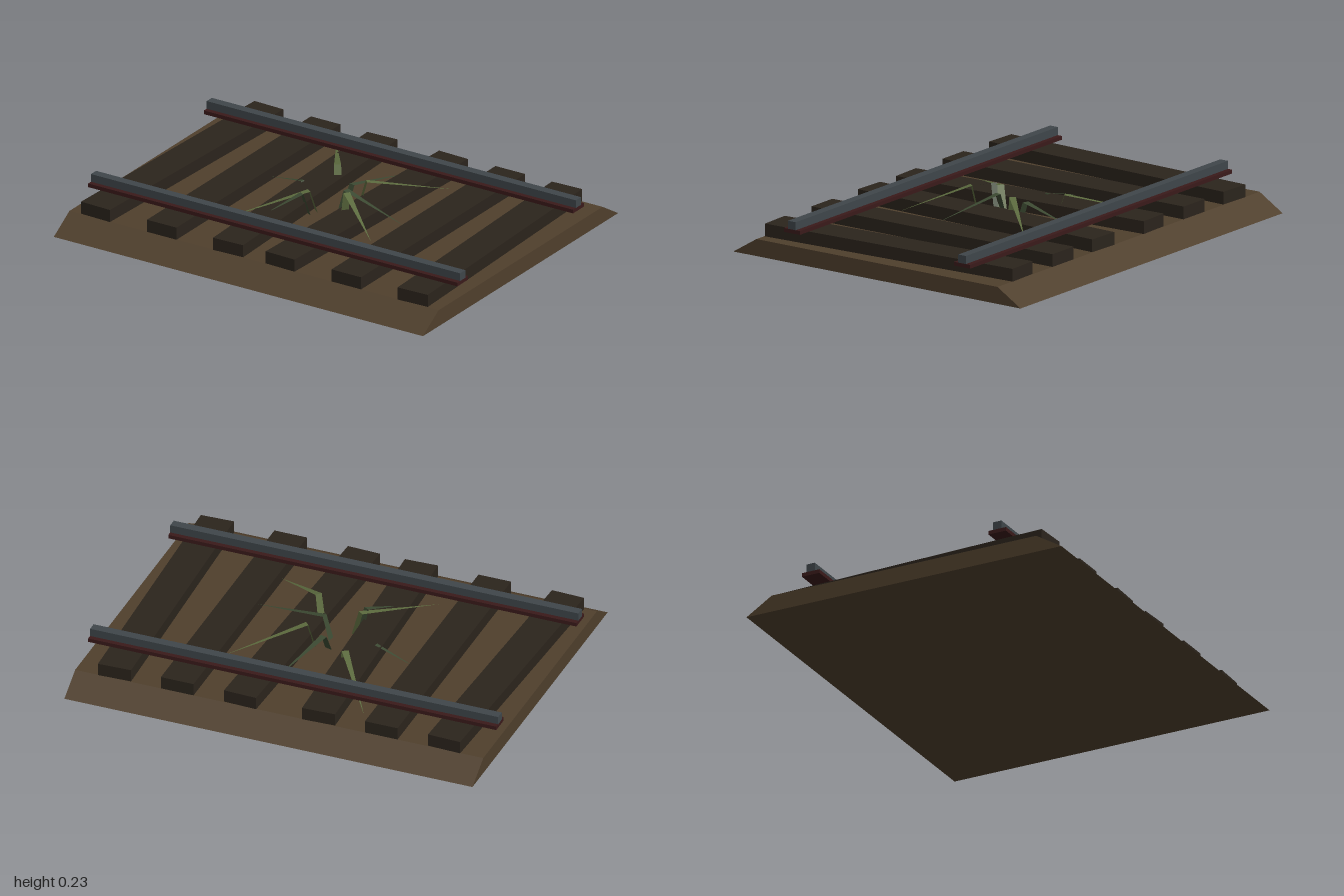
import * as THREE from 'three';

const mat = (color, side = THREE.FrontSide) =>
  new THREE.MeshStandardMaterial({ color, side, flatShading: true });

function box(name, w, h, d, x, y, z, material) {
  const mesh = new THREE.Mesh(new THREE.BoxGeometry(w, h, d), material);
  mesh.position.set(x, y, z);
  mesh.name = name;
  return mesh;
}

// Bent grass blade: a tapering strip from the root up to a bend, then down to a pointed tip
function grassBlade(bend, tip, width, material) {
  const [bx, by, bz] = bend;
  const dir = new THREE.Vector2(tip[0] - bx, tip[2] - bz).normalize();
  const sx = -dir.y * width / 2, sz = dir.x * width / 2;
  const rx = bx - dir.x * 0.035, rz = bz - dir.y * 0.035;
  const g = new THREE.BufferGeometry();
  g.setAttribute('position', new THREE.Float32BufferAttribute([
    rx - sx, 0.08, rz - sz, rx + sx, 0.08, rz + sz,
    bx - sx * 0.85, by, bz - sz * 0.85, bx + sx * 0.85, by, bz + sz * 0.85,
    ...tip,
  ], 3));
  g.setIndex([0, 2, 1, 1, 2, 3, 2, 4, 3]);
  g.computeVertexNormals();
  const mesh = new THREE.Mesh(g, material);
  mesh.name = 'grassBlade';
  return mesh;
}

export function createModel() {
  const model = new THREE.Group();
  model.name = 'railwayTrack';
  const earth = mat(0x4f3f2c), wood = mat(0x2b241c);
  const steel = mat(0x3f464a), rust = mat(0x3a1a1a);
  const greens = [mat(0x5c6b3e, THREE.DoubleSide), mat(0x3c4a32, THREE.DoubleSide)];

  // Ballast bed with sloping long sides
  const profile = new THREE.Shape([
    new THREE.Vector2(-0.81, 0), new THREE.Vector2(0.81, 0),
    new THREE.Vector2(0.68, 0.08), new THREE.Vector2(-0.68, 0.08),
  ]);
  const bedGeometry = new THREE.ExtrudeGeometry(profile, { depth: 2, bevelEnabled: false });
  bedGeometry.translate(0, 0, -1).rotateY(Math.PI / 2);
  const bed = new THREE.Mesh(bedGeometry, earth);
  bed.name = 'ballastBed';
  model.add(bed);

  // Sleepers, some slightly skewed
  const sleepers = new THREE.Group();
  sleepers.name = 'sleepers';
  for (let i = 0; i < 6; i++) {
    const sleeper = box('sleeper', 0.16, 0.06, 1.36, (i - 2.5) / 3, 0.11, 0, wood);
    sleeper.rotation.y = (i % 3 - 1) * 0.038;
    sleepers.add(sleeper);
  }
  model.add(sleepers);

  // Rails: rusty foot with a steel head
  for (const side of [-1, 1]) {
    const rail = new THREE.Group();
    rail.name = side > 0 ? 'frontRail' : 'backRail';
    rail.add(
      box('railFoot', 2, 0.018, 0.09, 0, 0.149, side * 0.48, rust),
      box('railHead', 2, 0.039, 0.043, 0, 0.1765, side * 0.48, steel),
    );
    model.add(rail);
  }

  // Grass tuft between the rails: [bend, tip, width, shade]
  const grass = new THREE.Group();
  grass.name = 'grassTuft';
  [
    [[-0.135, 0.185, -0.22], [-0.37, 0.10, -0.57], 0.038, 0],
    [[0.015, 0.165, -0.11], [0.10, 0.12, -0.42], 0.038, 1],
    [[0.10, 0.205, -0.10], [0.39, 0.13, -0.38], 0.036, 0],
    [[0.06, 0.195, 0.01], [0.42, 0.13, 0.08], 0.036, 1],
    [[0.13, 0.235, 0.11], [0.40, 0.135, 0.32], 0.038, 0],
    [[-0.08, 0.19, 0.10], [-0.33, 0.11, 0.42], 0.038, 0],
    [[-0.09, 0.19, 0.145], [-0.18, 0.13, 0.31], 0.036, 1],
    [[-0.22, 0.145, -0.058], [-0.42, 0.10, -0.10], 0.024, 1],
  ].forEach(([bend, tip, width, shade]) => grass.add(grassBlade(bend, tip, width, greens[shade])));
  model.add(grass);

  return model;
}
